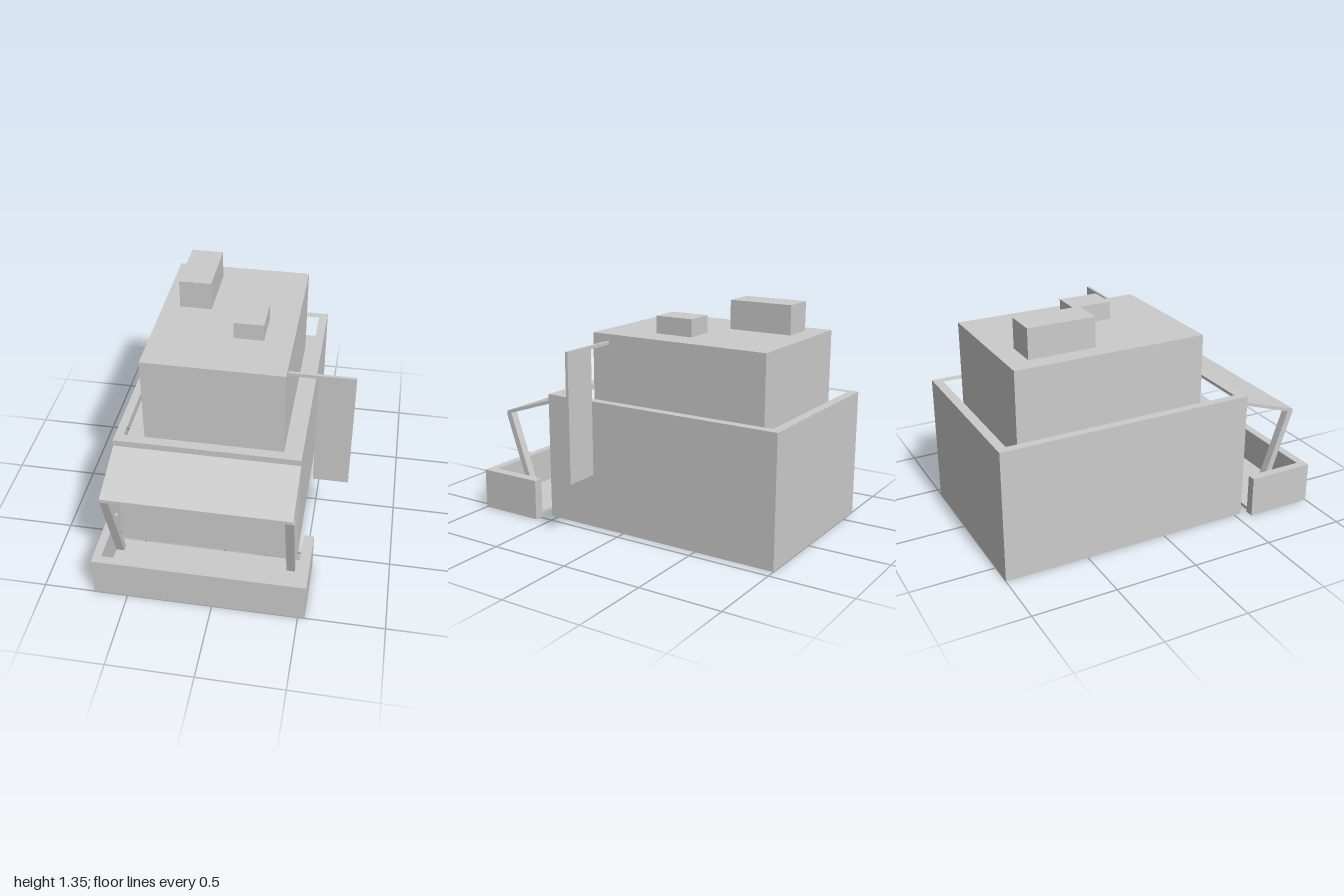
import * as THREE from 'three';

export function createModel() {
  const model = new THREE.Group();
  const material = new THREE.MeshStandardMaterial({ color: 0xcccccc, flatShading: true });

  const add = (name, geometry) => {
    const mesh = new THREE.Mesh(geometry, material);
    mesh.name = name;
    model.add(mesh);
    return mesh;
  };

  // Box given by its limits on each axis
  const block = (name, [x0, x1], [y0, y1], [z0, z1]) =>
    add(name, new THREE.BoxGeometry(x1 - x0, y1 - y0, z1 - z0)
      .translate((x0 + x1) / 2, (y0 + y1) / 2, (z0 + z1) / 2));

  const outline = (points) => points.map(([a, b]) => new THREE.Vector2(a, b));

  // Floor plan of [x, z] points raised from y0 to y1, with an optional hole
  const raisePlan = (name, plan, hole, y0, y1) => {
    const flip = (points) => outline(points.map(([x, z]) => [x, -z]));
    const shape = new THREE.Shape(flip(plan));
    if (hole) shape.holes.push(new THREE.Path(flip(hole)));
    const geometry = new THREE.ExtrudeGeometry(shape, { depth: y1 - y0, bevelEnabled: false });
    return add(name, geometry.rotateX(-Math.PI / 2).translate(0, y0, 0));
  };

  // Side profile of [z, y] points swept from x0 to x1
  const sweepProfile = (name, profile, x0, x1) => {
    const shape = new THREE.Shape(outline(profile.map(([z, y]) => [-z, y])));
    const geometry = new THREE.ExtrudeGeometry(shape, { depth: x1 - x0, bevelEnabled: false });
    return add(name, geometry.rotateY(Math.PI / 2).translate(x0, 0, 0));
  };

  const rect = (x0, x1, z0, z1) => [[x0, z0], [x1, z0], [x1, z1], [x0, z1]];

  // Ground floor with a roof terrace behind a parapet
  const terrace = 0.6;
  block('groundFloor', [-0.65, 0.44], [0, terrace], [-1, 0.545]);
  raisePlan('parapet', rect(-0.65, 0.44, -1, 0.545), rect(-0.6, 0.385, -0.945, 0.485), terrace, 0.785);

  // Upper floor and roof units
  block('upperFloor', [-0.535, 0.31], [terrace, 1.17], [-0.855, 0.295]);
  block('largeRoofUnit', [-0.43, -0.232], [1.17, 1.347], [-0.73, -0.33]);
  block('smallRoofUnit', [-0.045, 0.135], [1.17, 1.275], [-0.28, -0.04]);

  // Hanging sign on its bracket
  block('signBracket', [0.31, 0.485], [1.108, 1.128], [0.18, 0.198]);
  block('signBoard', [0.485, 0.7], [0.35, 1.128], [0.18, 0.198]);

  // Sloping awning and its two leaning posts
  sweepProfile('awning', [[0.54, 0.747], [0.54, 0.726], [0.85, 0.623], [0.884, 0.612], [0.884, 0.634]], -0.65, 0.44);
  for (const x of [-0.65, 0.395]) {
    sweepProfile('awningPost', [[0.884, 0.614], [0.848, 0.624], [0.635, 0.005], [0.675, 0.005]], x, x + 0.05);
  }

  // Low patio fence, open towards the building, with its floor
  raisePlan('patioFence', [
    [-0.7, 0.59], [-0.65, 0.59], [-0.65, 0.95], [0.48, 0.95],
    [0.48, 0.59], [0.54, 0.59], [0.54, 1], [-0.7, 1],
  ], null, 0, 0.25);
  block('patioFloor', [-0.65, 0.48], [0.015, 0.035], [0.59, 0.95]);

  return model;
}
